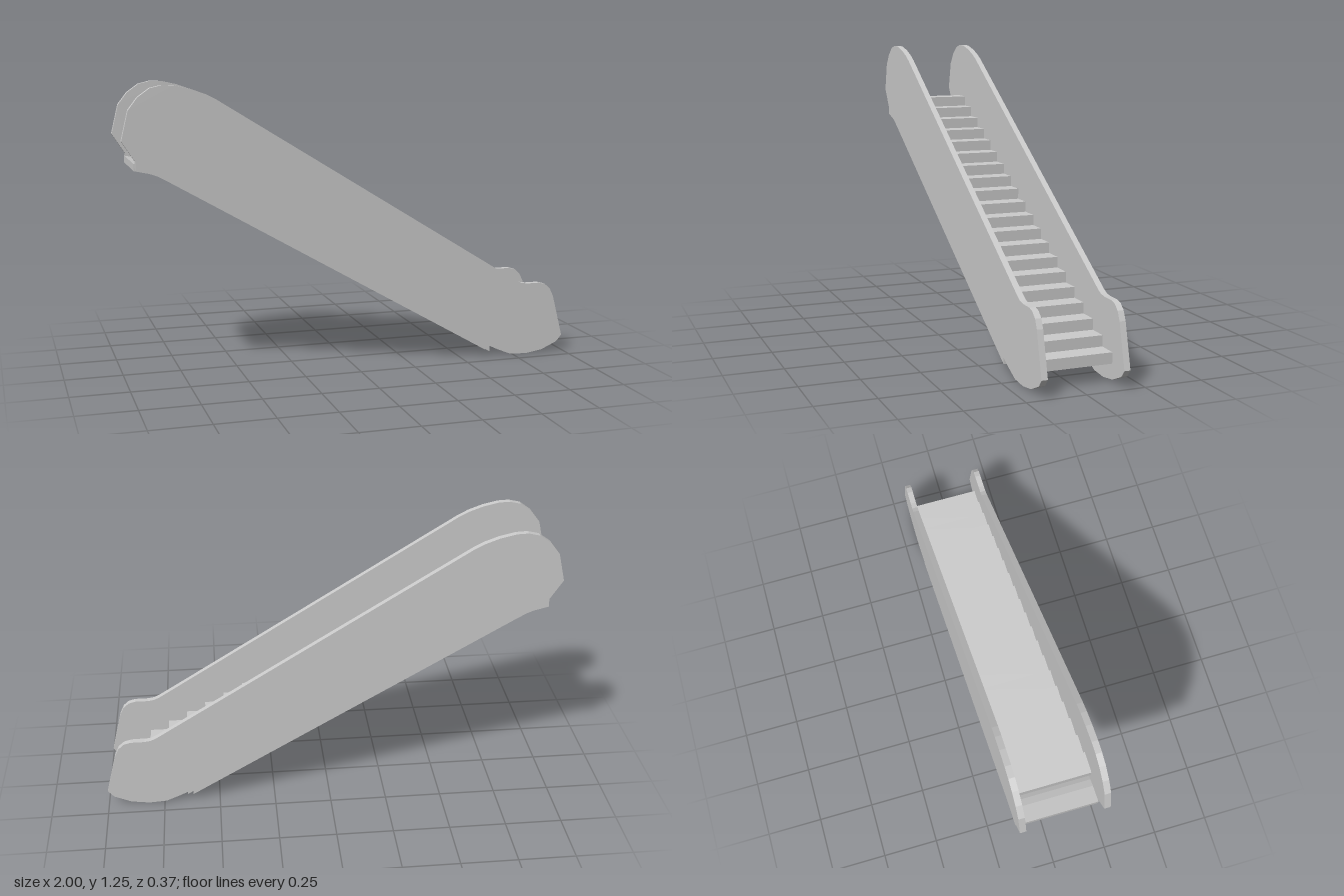
import * as THREE from 'three';

const HALF_WIDTH = 0.159;   // inner half width between the side panels
const PANEL = 0.026;        // panel thickness
const STEPS = 20, RUN = 0.087, RISE = 0.0462;

// Extrudes a closed x/y outline along z, from z to z + depth
function extrude(name, points, z, depth, material) {
  const shape = new THREE.Shape(points.map(([x, y]) => new THREE.Vector2(x, y)));
  const geometry = new THREE.ExtrudeGeometry(shape, { depth, bevelEnabled: false });
  geometry.translate(0, 0, z);
  const mesh = new THREE.Mesh(geometry, material);
  mesh.name = name;
  return mesh;
}

export function createModel() {
  const group = new THREE.Group();
  group.name = 'escalator';
  const grey = new THREE.MeshStandardMaterial({ color: 0xcccccc, flatShading: true });

  // Side panel outline: rounded head, sloping rail, rounded foot, notch, underside
  const outline = [
    [-1, 1.03], [-0.97, 1.155], [-0.93, 1.207], [-0.88, 1.243], [-0.83, 1.255],
    [-0.78, 1.253], [-0.71, 1.237], [-0.65, 1.215], [-0.605, 1.192],
    [0.765, 0.345], [0.79, 0.333], [0.82, 0.328], [0.88, 0.328], [0.91, 0.32],
    [0.935, 0.298], [0.953, 0.26], [1, 0.075], [0.975, 0.045], [0.9, 0.012],
    [0.82, 0], [0.74, 0.005], [0.68, 0.03], [0.62, 0.058], [0.62, 0.032],
    [-0.8, 0.852], [-0.85, 0.88], [-0.88, 0.892], [-0.945, 0.908], [-0.945, 0.945],
  ];
  const backPanel = extrude('backSidePanel', outline, -HALF_WIDTH - PANEL, PANEL, grey);
  const frontPanel = extrude('frontSidePanel', outline, HALF_WIDTH, PANEL, grey);
  // The front panel is a touch shorter at its foot
  frontPanel.scale.x = 0.996;
  frontPanel.position.x = -0.004;
  group.add(backPanel, frontPanel);

  // Thin plate closing the underside
  const plate = [
    [-0.95, 0.935], [-0.95, 0.905], [-0.88, 0.89], [-0.85, 0.878], [-0.8, 0.85],
    [0.645, 0.016], [0.645, 0.048], [-0.8, 0.882], [-0.85, 0.91], [-0.88, 0.921],
  ];
  group.add(extrude('undersidePlate', plate, -HALF_WIDTH, HALF_WIDTH * 2, grey));

  // Steps climbing toward -x
  const steps = new THREE.Group();
  steps.name = 'steps';
  const stepGeometry = new THREE.BoxGeometry(RUN, RISE, HALF_WIDTH * 2);
  for (let i = 0; i < STEPS; i++) {
    const step = new THREE.Mesh(stepGeometry, grey);
    step.name = 'step';
    step.position.set(0.897 - (i + 0.5) * RUN, 0.076 + (i + 0.5) * RISE, 0);
    steps.add(step);
  }
  group.add(steps);
  return group;
}
